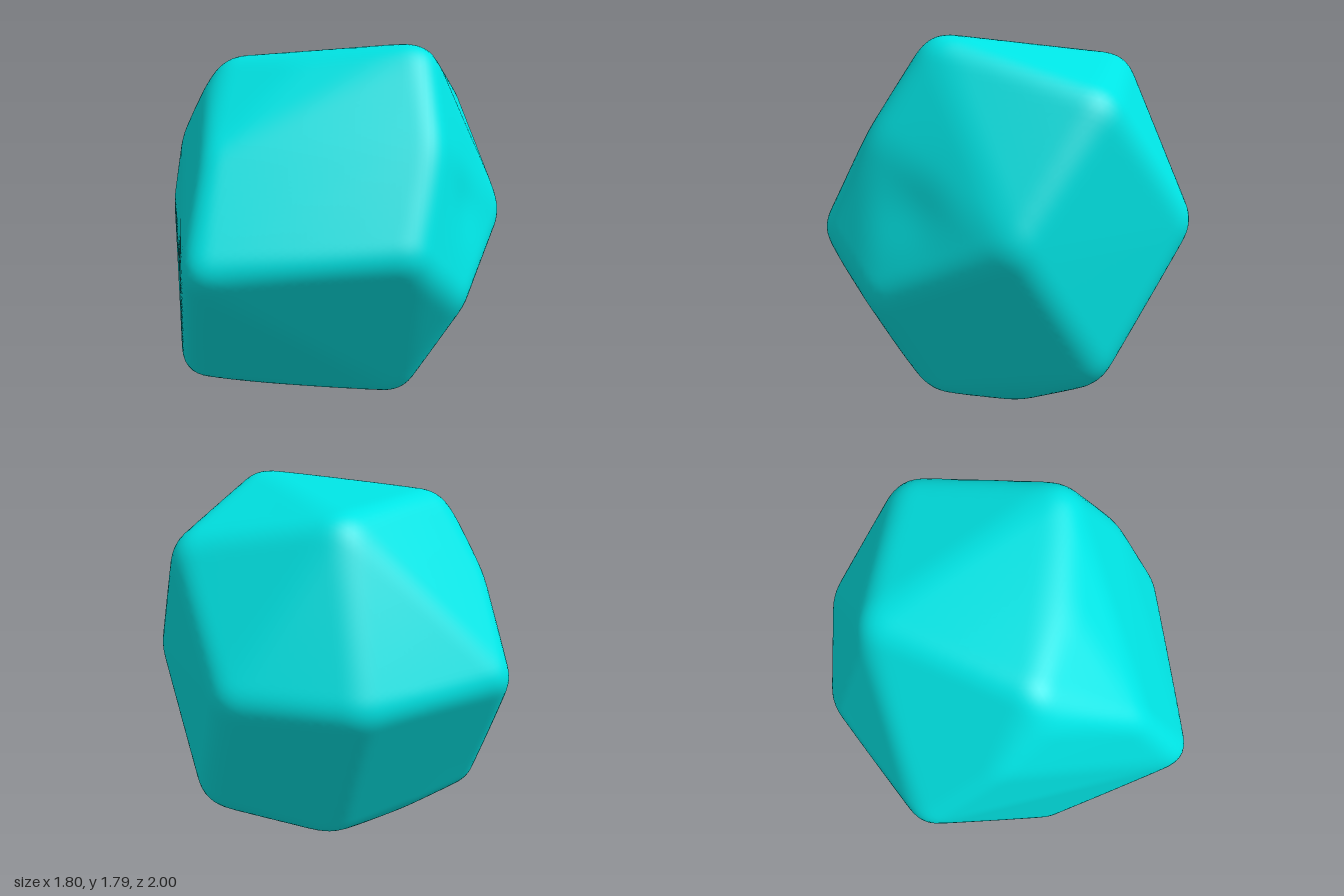
import * as THREE from 'three';
import { mergeVertices } from 'three/addons/utils/BufferGeometryUtils.js';
import { ConvexGeometry } from 'three/addons/geometries/ConvexGeometry.js';

// Corners of the faceted stone before its edges are worn round
const corners = [
  // top facet
  [0.62, 1.805, 0], [-0.34, 1.725, 0.31], [-0.36, 1.69, -0.53], [0.43, 1.55, -0.8],
  // waist
  [-0.01, 0.83, 1.065], [0.82, 0.89, 0.5], [0.915, 0.61, 0.15], [0.83, 0.92, -0.56],
  [-0.05, 0.92, -1.03], [-0.6, 0.88, -0.72], [-0.945, 0.92, 0],
  // swellings along the upper edges
  [-0.1, 1.31, 0.79], [0.79, 1.38, 0.22], [-0.38, 1.56, 0.42], [-0.64, 1.33, 0.27], [0.1, 1.72, 0.27],
  // base
  [-0.48, 0.08, 0.52], [0.57, 0.06, 0.07], [0.32, -0.005, -0.29], [0.36, 0.21, -0.76],
  [-0.18, 0.03, -0.38], [-0.1, 0.01, 0.2], [-0.39, 0.11, -0.03],
];
const CENTRE = new THREE.Vector3(0, 0.9, 0);
const HOLLOW = new THREE.Vector3(0.85, 0.15, -0.05).normalize();

// Planes of the hull around the corners, measured from the centre
function hullPlanes() {
  const hull = new ConvexGeometry(corners.map(c => new THREE.Vector3(...c).sub(CENTRE)));
  const p = hull.attributes.position;
  const planes = [];
  for (let i = 0; i < p.count; i += 3) {
    const [a, b, c] = [0, 1, 2].map(k => new THREE.Vector3().fromBufferAttribute(p, i + k));
    const n = b.clone().sub(a).cross(c.clone().sub(a)).normalize();
    planes.push({ n, h: n.dot(a) });
  }
  return planes;
}

// Distance from the centre to the hull in one direction
function reach(planes, d) {
  let r = Infinity;
  for (const { n, h } of planes) {
    const s = n.dot(d);
    if (s > 1e-6) r = Math.min(r, h / s);
  }
  return r;
}

function stoneGeometry() {
  const planes = hullPlanes();
  let geo = new THREE.IcosahedronGeometry(1, 36);
  geo.deleteAttribute('normal');
  geo.deleteAttribute('uv');
  geo = mergeVertices(geo, 1e-5);
  const pos = geo.attributes.position;
  const d = new THREE.Vector3(), u = new THREE.Vector3(), w = new THREE.Vector3(), q = new THREE.Vector3();

  // Average the reach over a small cone to round edges and corners
  for (let i = 0; i < pos.count; i++) {
    d.fromBufferAttribute(pos, i).normalize();
    u.set(0, 1, 0);
    if (Math.abs(d.y) > 0.8) u.set(1, 0, 0);
    u.cross(d).normalize();
    w.crossVectors(d, u);
    let sum = reach(planes, d), count = 1;
    for (const [radius, steps] of [[0.03, 6], [0.06, 12], [0.09, 16]]) {
      for (let k = 0; k < steps; k++) {
        const a = (k / steps) * Math.PI * 2;
        q.copy(d).addScaledVector(u, radius * Math.cos(a)).addScaledVector(w, radius * Math.sin(a)).normalize();
        sum += reach(planes, q);
        count++;
      }
    }
    // Shallow hollow in the left side
    const hollow = 0.02 * Math.exp(-d.distanceToSquared(HOLLOW) / 0.05);
    d.multiplyScalar(sum / count - hollow).add(CENTRE);
    pos.setXYZ(i, d.x, d.y, d.z);
  }
  geo.computeVertexNormals();
  return geo;
}

export function createModel() {
  const group = new THREE.Group();
  group.name = 'stone';
  const stone = new THREE.Mesh(stoneGeometry(), new THREE.MeshStandardMaterial({ color: 0x00e4e4 }));
  stone.name = 'stoneBody';
  group.add(stone);
  return group;
}
